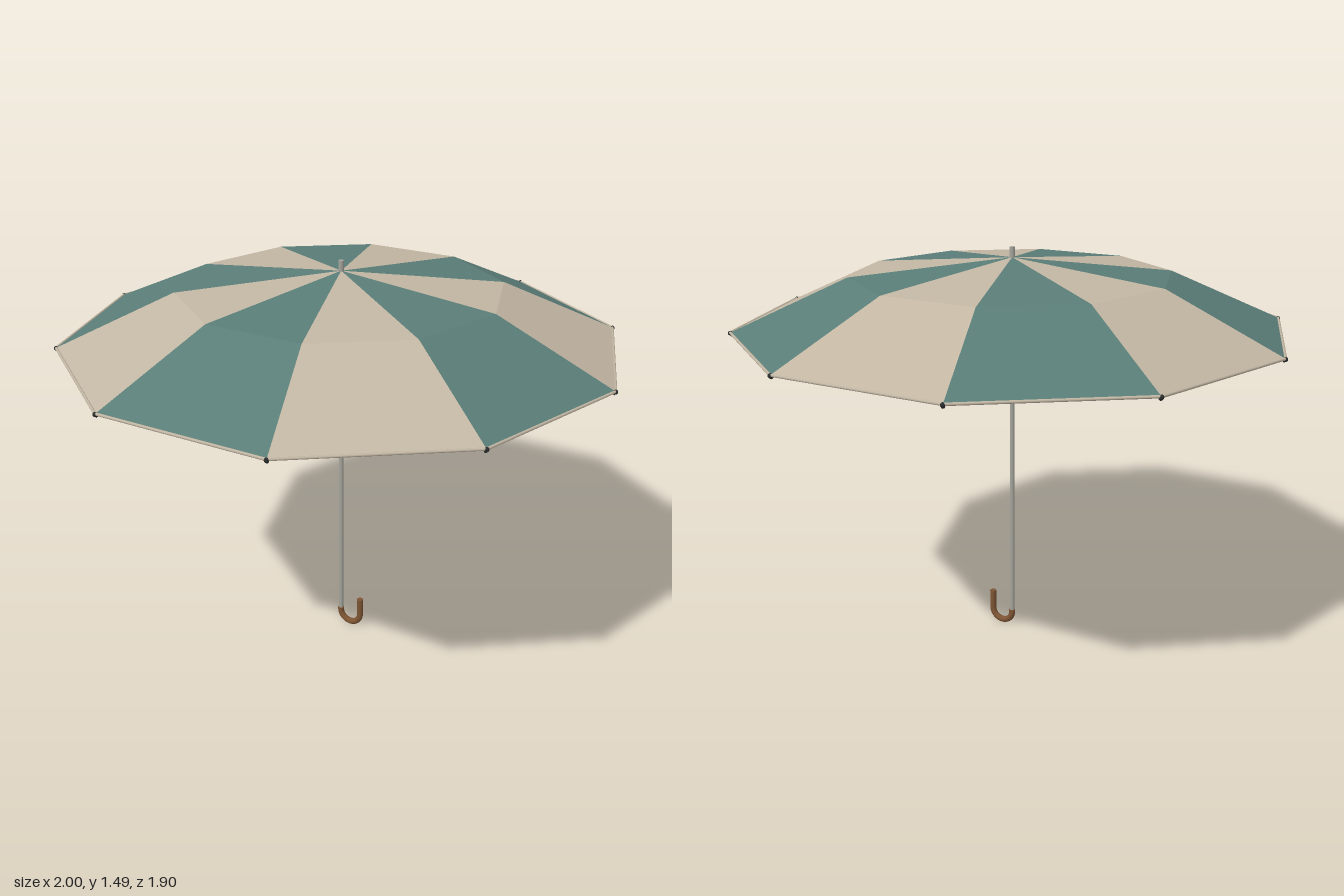
import * as THREE from 'three';

const SIDES = 10;
// canopy profile from apex to rim: [radius, height]
const PROFILE = [[0, 1.453], [0.577, 1.394], [0.992, 1.21]];

const point = (i, [r, y], drop = 0) => {
  const a = (i / SIDES) * Math.PI * 2;
  return new THREE.Vector3(r * Math.cos(a), y - drop, r * Math.sin(a));
};

function rod(a, b, radius, material, name) {
  const dir = b.clone().sub(a);
  const mesh = new THREE.Mesh(new THREE.CylinderGeometry(radius, radius, dir.length(), 8), material);
  mesh.position.copy(a).add(b).multiplyScalar(0.5);
  mesh.quaternion.setFromUnitVectors(new THREE.Vector3(0, 1, 0), dir.normalize());
  mesh.name = name;
  return mesh;
}

function ball(p, radius, material, name) {
  const mesh = new THREE.Mesh(new THREE.SphereGeometry(radius, 10, 8), material);
  mesh.position.copy(p);
  mesh.name = name;
  return mesh;
}

export function createModel() {
  const model = new THREE.Group();
  model.name = 'umbrella';
  const cloth = [0x5a7d78, 0xc2b6a3].map((color) =>
    new THREE.MeshStandardMaterial({ color, side: THREE.DoubleSide, flatShading: true }));
  const hemCloth = new THREE.MeshStandardMaterial({ color: 0xc2b6a3 });
  const metal = new THREE.MeshStandardMaterial({ color: 0xa6a69e });
  const dark = new THREE.MeshStandardMaterial({ color: 0x2b2e2e });
  const wood = new THREE.MeshStandardMaterial({ color: 0x7d5433 });

  const canopy = new THREE.Group();
  canopy.name = 'canopy';
  const frame = new THREE.Group();
  frame.name = 'ribFrame';
  model.add(canopy, frame);

  for (let i = 0; i < SIDES; i++) {
    // one gore: a flat triangle at the crown and a sloping skirt below it
    const [apex, mid, rim] = PROFILE;
    const [a, m0, m1, r0, r1] = [point(i, apex), point(i, mid), point(i + 1, mid), point(i, rim), point(i + 1, rim)];
    const geo = new THREE.BufferGeometry().setFromPoints([a, m1, m0, m0, m1, r1, m0, r1, r0]);
    geo.computeVertexNormals();
    const gore = new THREE.Mesh(geo, cloth[i % 2]);
    gore.name = 'canopyPanel';
    canopy.add(gore);

    // hem along the rim
    canopy.add(rod(r0, r1, 0.005, hemCloth, 'hem'));

    // bent rib under each seam, with a tip at the rim
    const [ra, rm, rr] = PROFILE.map((p) => point(i, p, 0.008));
    frame.add(rod(ra, rm, 0.006, dark, 'innerRib'));
    frame.add(rod(rm, rr, 0.006, dark, 'outerRib'));
    frame.add(ball(rm, 0.006, dark, 'ribJoint'));
    frame.add(ball(point(i, [0.992, 1.208]), 0.008, dark, 'ribTip'));
  }

  // shaft and the ferrule above the crown
  model.add(rod(new THREE.Vector3(0, 0.05, 0), new THREE.Vector3(0, 1.45, 0), 0.009, metal, 'shaft'));
  model.add(rod(new THREE.Vector3(0, 1.44, 0), new THREE.Vector3(0, 1.49, 0), 0.01, metal, 'ferrule'));

  // J-shaped handle hooking towards +x
  const R = 0.043, CY = 0.055, TUBE = 0.012;
  const path = new THREE.CurvePath();
  const arc = [];
  for (let k = 0; k <= 16; k++) {
    const t = Math.PI + (k / 16) * Math.PI;
    arc.push(new THREE.Vector3(R + R * Math.cos(t), CY + R * Math.sin(t), 0));
  }
  const start = new THREE.Vector3(0, 0.065, 0);
  const end = new THREE.Vector3(2 * R, 0.128, 0);
  path.add(new THREE.LineCurve3(start, arc[0]));
  path.add(new THREE.CatmullRomCurve3(arc));
  path.add(new THREE.LineCurve3(arc[16], end));
  const handle = new THREE.Mesh(new THREE.TubeGeometry(path, 48, TUBE, 12), wood);
  handle.name = 'handle';
  model.add(handle);

  // flat caps on both handle ends
  for (const p of [start, end]) {
    const cap = new THREE.Mesh(new THREE.CircleGeometry(TUBE, 12), wood);
    cap.rotation.x = -Math.PI / 2;
    cap.position.copy(p);
    cap.name = 'handleCap';
    model.add(cap);
  }
  return model;
}
